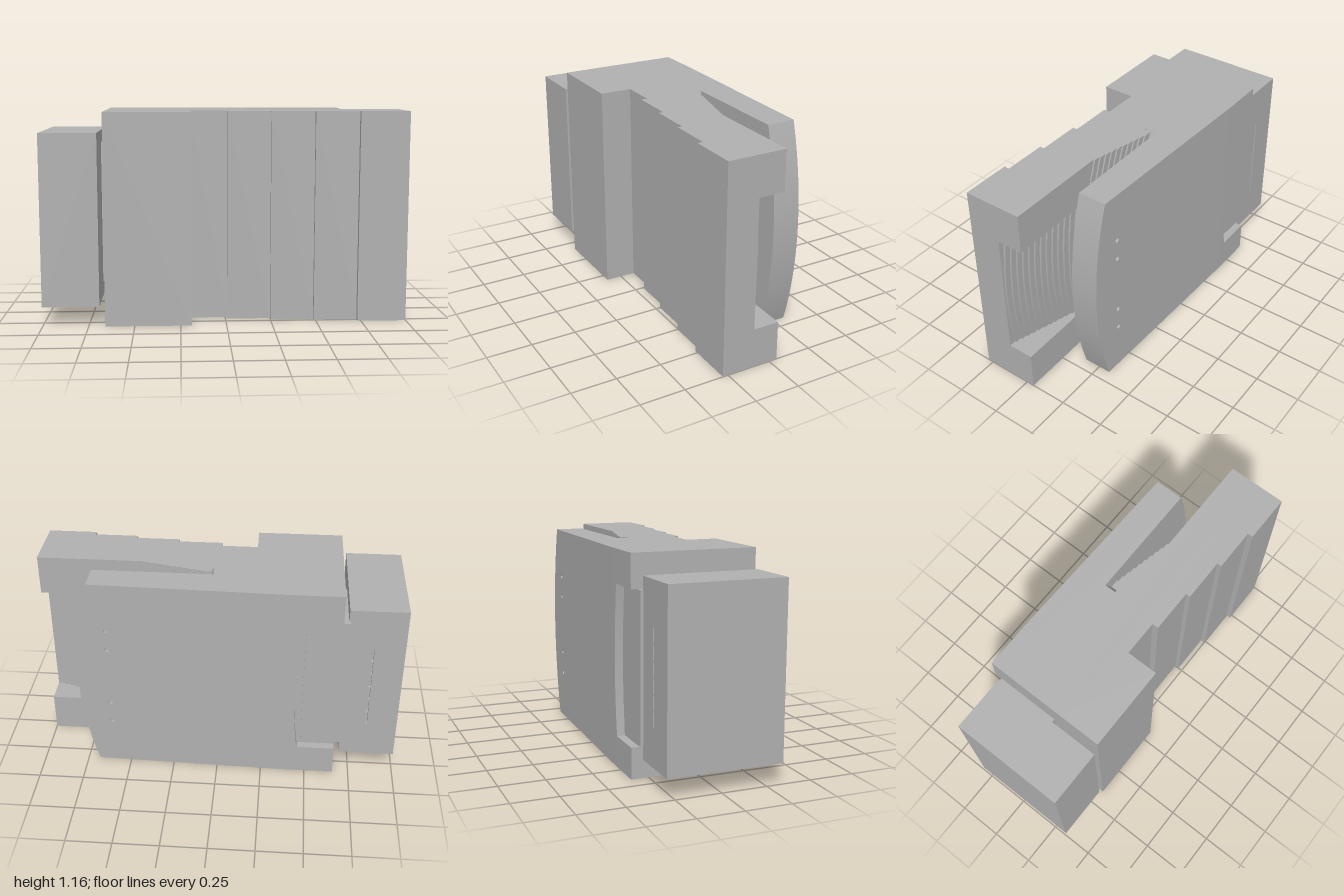
import * as THREE from 'three';
import { toCreasedNormals } from 'three/addons/utils/BufferGeometryUtils.js';

const H = 1.16, MID = H / 2, LEFT = -0.66, CENTRE = -1.2;

export function createModel() {
  const model = new THREE.Group();
  const grey = new THREE.MeshStandardMaterial({ color: 0xb0b0b0 });

  const add = (name, geometry) => {
    const mesh = new THREE.Mesh(geometry, grey);
    mesh.name = name;
    model.add(mesh);
    return mesh;
  };
  const box = (name, x0, x1, y0, y1, z0, z1) => {
    const g = new THREE.BoxGeometry(x1 - x0, y1 - y0, z1 - z0);
    add(name, g.translate((x0 + x1) / 2, (y0 + y1) / 2, (z0 + z1) / 2));
  };
  // Outline in x and y, extruded between two depths
  const slabGeometry = (points, z0, z1, holes = []) => {
    const shape = new THREE.Shape(points.map(p => new THREE.Vector2(...p)));
    shape.holes = holes;
    const g = new THREE.ExtrudeGeometry(shape, { depth: z1 - z0, bevelEnabled: false });
    return g.translate(0, 0, z0);
  };
  const slab = (name, points, z0, z1, holes) =>
    add(name, toCreasedNormals(slabGeometry(points, z0, z1, holes), 0.5));
  // Concentric arc that reaches x = mid at half height, running upwards
  const arc = (mid, y0 = 0, y1 = H, n = 24) => Array.from({ length: n + 1 }, (_, i) => {
    const y = y0 + (y1 - y0) * i / n;
    return [CENTRE + Math.sqrt((mid - CENTRE) ** 2 - (y - MID) ** 2), y];
  });
  const toArc = (x, mid, y0 = 0, y1 = H) => [[x, y0], ...arc(mid, y0, y1), [x, y1]];

  // Front body: stepped profile over the full height
  const profile = [[LEFT, 0.1], [LEFT, 0.34], [-0.19, 0.34]];
  [[-0.19, 0.01, 0.165], [0.01, 0.25, 0.2], [0.25, 0.49, 0.225], [0.49, 0.73, 0.25], [0.73, 1, 0.28]]
    .forEach(([x0, x1, z]) => profile.push([x0, z], [x1, z]));
  profile.push([1, 0.1]);
  const front = slabGeometry(profile.map(([x, z]) => [x, -z]), 0, H);
  add('steppedFront', front.rotateX(-Math.PI / 2));

  // Cheeks above and below the finger recess
  box('lowerCheek', LEFT, 1, 0, 0.22, -0.045, 0.1);
  box('upperCheek', LEFT, 1, 0.94, H, -0.045, 0.1);

  // Ribs in the recess, then the wider ribs inside the slot
  for (let i = 0; i < 14; i++) {
    const z = -0.045 + i * 0.145 / 14;
    slab('recessRib', toArc(LEFT, 0.52 + 0.47 * (i + 1) / 14, 0.22, 0.94), z, z + 0.145 / 14);
  }
  for (let i = 0; i < 10; i++) {
    const z = -0.13 + i * 0.0085, mid = 0.18 + 0.034 * (i + 1);
    if (i < 4) { // leaves a narrow groove at the root of the slot
      slab('slotRoot', toArc(LEFT, 0.16), z, z + 0.0085);
      slab('slotRib', [...arc(mid), ...arc(0.172).reverse()], z, z + 0.0085);
    } else slab('slotRib', toArc(LEFT, mid), z, z + 0.0085);
  }
  slab('slotEnd', toArc(LEFT, 0.16), -0.16, -0.13);

  // Back plate with a rounded end
  slab('backPlate', toArc(LEFT, 0.77), -0.3, -0.16);

  // Sloping outer skin with four small holes
  const holes = [0.28, 0.41, 0.76, 0.88].map(y => new THREE.Path().absarc(0.595, y, 0.014, 0, Math.PI * 2, true));
  const skin = slabGeometry(toArc(-0.4, 0.77), -0.345, -0.3, holes);
  const p = skin.attributes.position;
  for (let i = 0; i < p.count; i++) {
    if (p.getZ(i) < -0.32) p.setZ(i, -0.345 + 0.03 * (p.getX(i) + 0.4) / 1.17);
  }
  skin.computeVertexNormals();
  add('backSkin', toCreasedNormals(skin, 0.5));

  // Flat skin with a curved notch around the neck
  const notch = Array.from({ length: 17 }, (_, i) => {
    const t = i / 8 - 1;
    return [-0.45 + 0.027 * (1 - t * t), 0.575 - 0.405 * t];
  });
  slab('notchedSkin', [[LEFT, 0], [-0.4, 0], [-0.4, H], [LEFT, H], [LEFT, 0.98], ...notch, [LEFT, 0.17]], -0.345, -0.3);

  // Neck and end cap, with a row of slits in the back of the cap
  box('neck', -0.7, -0.47, 0.19, 0.98, -0.31, 0.05);
  box('endCap', -1, -0.69, 0.11, 1.05, -0.275, 0.34);
  const slits = Array.from({ length: 6 }, (_, i) => {
    const y = 0.32 + i * 0.084;
    return new THREE.Path([[-0.836, y], [-0.836, y + 0.075], [-0.824, y + 0.075], [-0.824, y]]
      .map(q => new THREE.Vector2(...q)));
  });
  slab('capBack', [[-1, 0.11], [-0.69, 0.11], [-0.69, 1.05], [-1, 1.05]], -0.293, -0.275, slits);

  return model;
}
